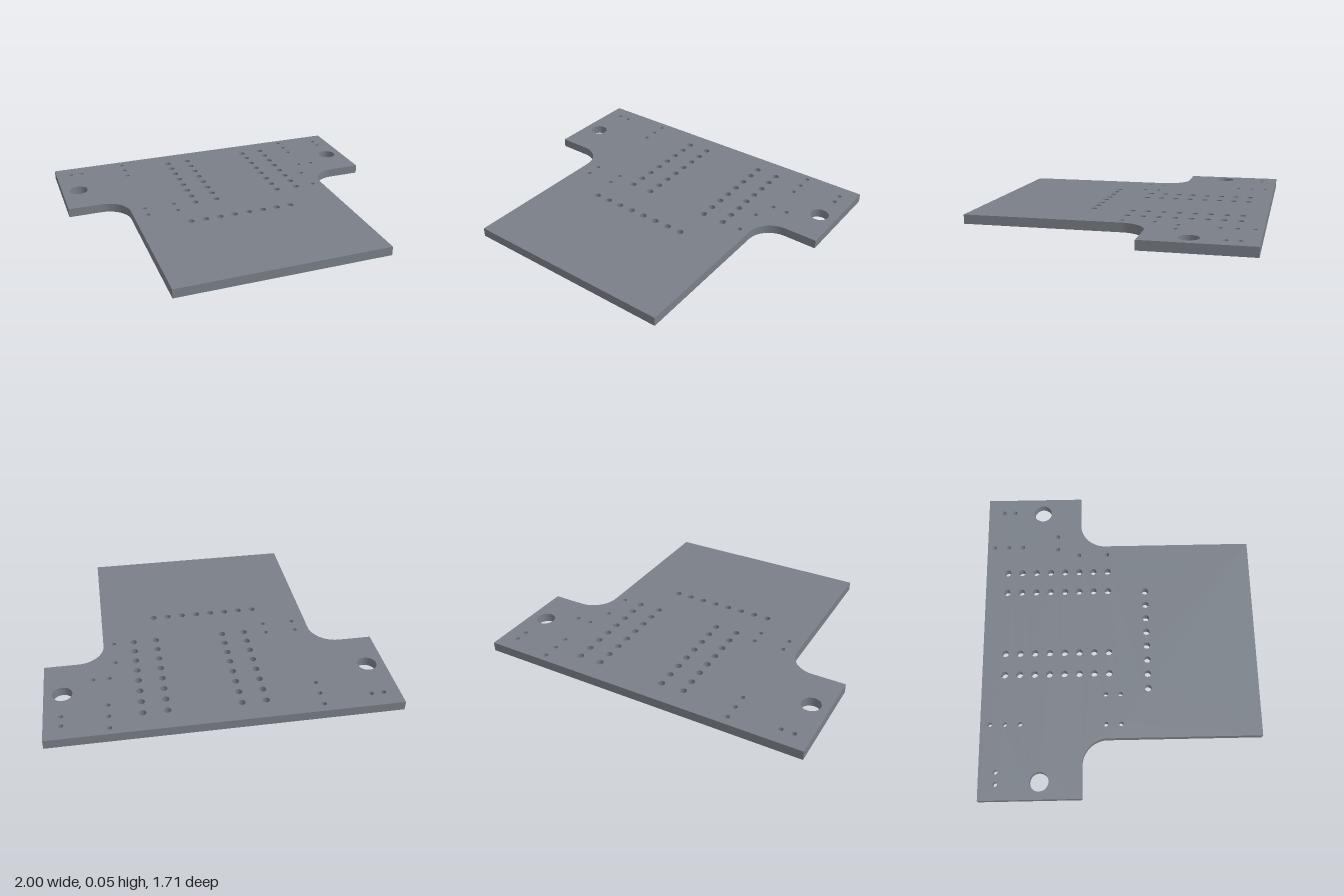
import * as THREE from 'three';
import { toCreasedNormals } from 'three/addons/utils/BufferGeometryUtils.js';

const THICKNESS = 0.055;
const PITCH = 0.0925;

export function createModel() {
  const group = new THREE.Group();
  group.name = 'circuitBoard';

  // T-shaped outline with filleted inner corners (shape y is -z)
  const wide = 1, narrow = 0.644, end = 0.854, shoulder = 0.238, r = 0.157;
  const board = new THREE.Shape();
  board.moveTo(-narrow, -end);
  board.lineTo(narrow, -end);
  board.lineTo(narrow, shoulder - r);
  board.absarc(narrow + r, shoulder - r, r, Math.PI, Math.PI / 2, true);
  board.lineTo(wide, shoulder);
  board.lineTo(wide, end);
  board.lineTo(-wide, end);
  board.lineTo(-wide, shoulder);
  board.lineTo(-narrow - r, shoulder);
  board.absarc(-narrow - r, shoulder - r, r, Math.PI / 2, 0, true);
  board.closePath();

  const drill = (x, z, radius) => {
    const hole = new THREE.Path();
    hole.absarc(x, -z, radius, 0, Math.PI * 2, true);
    board.holes.push(hole);
  };

  // Mounting holes
  for (const side of [-1, 1]) drill(side * 0.895, -0.493, 0.057);

  // Pin header holes: four columns and one row
  for (let i = 0; i < 8; i++) {
    for (const x of [-0.233, -0.094, 0.322, 0.46]) drill(x, -0.716 + i * PITCH, 0.021);
    drill(-0.334 + i * PITCH, 0.171, 0.021);
  }

  // Small component lead holes
  const leads = [
    [-0.906, -0.753], [-0.833, -0.753],
    [-0.546, -0.797], [-0.546, -0.706], [-0.546, -0.614],
    [0.645, -0.808], [0.645, -0.716], [0.645, -0.624],
    [0.904, -0.753], [0.904, -0.68],
    [0.626, -0.393], [0.719, -0.393],
    [0.582, -0.254], [0.582, -0.069],
    [-0.556, -0.092], [-0.556, 0],
    [-0.369, -0.092], [-0.369, 0],
  ];
  for (const [x, z] of leads) drill(x, z, 0.014);

  // Board plate, extruded upwards
  const geometry = new THREE.ExtrudeGeometry(board, {
    depth: THICKNESS, bevelEnabled: false, curveSegments: 24,
  });
  geometry.rotateX(-Math.PI / 2);
  const mesh = new THREE.Mesh(
    toCreasedNormals(geometry, Math.PI / 6),
    new THREE.MeshStandardMaterial({ color: 0x7a8088 }),
  );
  mesh.name = 'boardPlate';
  group.add(mesh);
  return group;
}
